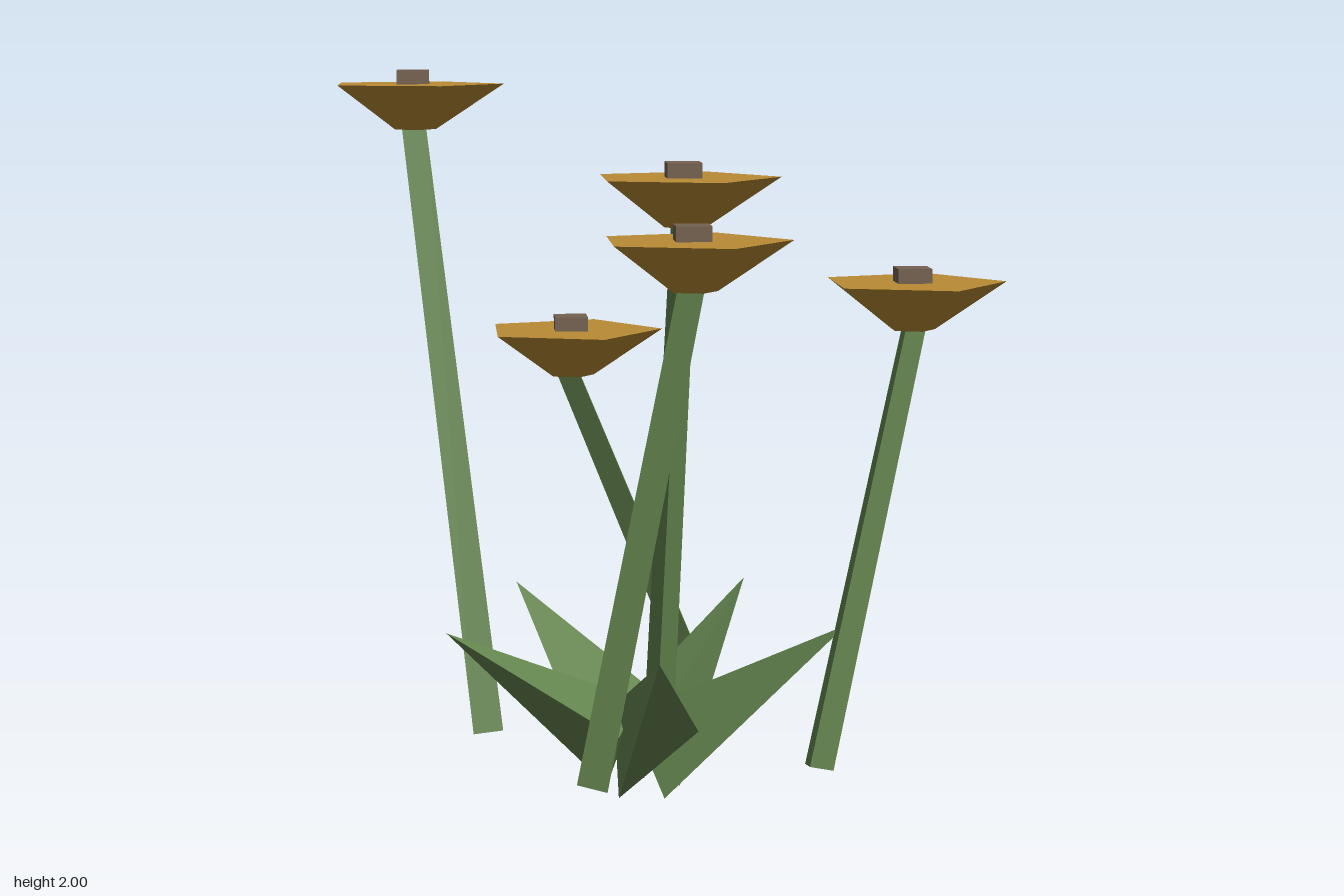
import * as THREE from 'three';
import { ConvexGeometry } from 'three/addons/geometries/ConvexGeometry.js';

const material = (name, color) => {
  const m = new THREE.MeshStandardMaterial({ color, flatShading: true });
  m.name = name;
  return m;
};

export function createModel() {
  const green = material('leaf green', 0x64854f);
  const gold = material('petal gold', 0xb98c35);
  const brown = material('centre brown', 0x756250);
  const model = new THREE.Group();
  model.name = 'flowerClump';

  const add = (parent, name, geometry, mat) => {
    const mesh = new THREE.Mesh(geometry, mat);
    mesh.name = name;
    parent.add(mesh);
    return mesh;
  };

  // Three-sided stem from foot to top; flatSide is the bearing (x to z) of one flat face
  const addStem = (parent, foot, top, flatSide) => {
    const axis = top.clone().sub(foot);
    const start = -Math.PI / 2 - THREE.MathUtils.degToRad(flatSide);
    const geometry = new THREE.CylinderGeometry(0.04, 0.049, axis.length(), 3, 1, false, start);
    const stem = add(parent, 'stem', geometry, green);
    stem.position.copy(foot).add(top).multiplyScalar(0.5);
    stem.quaternion.setFromUnitVectors(new THREE.Vector3(0, 1, 0), axis.normalize());
  };

  // Each flower: head centre x, z and underside height, stem foot x, z, stem flat side
  const flowers = [
    [-0.71, -0.52, 1.83, -0.52, -0.125, 90],
    [-0.27, -0.27, 1.14, 0.145, -0.385, 0],
    [0.005, 0.25, 1.605, -0.05, 0.05, 280],
    [0.005, 0.515, 1.46, -0.25, 0.44, 225],
    [0.65, 0.095, 1.305, 0.365, 0.31, 180],
  ];
  for (const [x, z, y, footX, footZ, flatSide] of flowers) {
    const flower = new THREE.Group();
    flower.name = 'flower';
    model.add(flower);
    addStem(flower, new THREE.Vector3(footX, 0.13, footZ), new THREE.Vector3(x, y + 0.01, z), flatSide);
    // Five-sided cup with a corner towards +x
    const cup = new THREE.CylinderGeometry(0.262, 0.065, 0.13, 5, 1, false, Math.PI / 2);
    add(flower, 'petals', cup, gold).position.set(x, y + 0.065, z);
    add(flower, 'centre', new THREE.BoxGeometry(0.093, 0.06, 0.093), brown).position.set(x, y + 0.14, z);
  }

  // Five pointed leaves fanned around the base
  const leafShape = new ConvexGeometry([
    new THREE.Vector3(0.575, 0.505, 0),
    new THREE.Vector3(-0.02, 0.24, 0.08),
    new THREE.Vector3(0.13, 0.2, -0.145),
    new THREE.Vector3(0.08, 0, 0.073),
  ]);
  for (let i = 0; i < 5; i++) {
    const leaf = add(model, 'leaf', leafShape, green);
    leaf.position.set(-0.09, 0, 0.045);
    leaf.rotation.y = -THREE.MathUtils.degToRad(18 + 72 * i);
  }
  return model;
}
